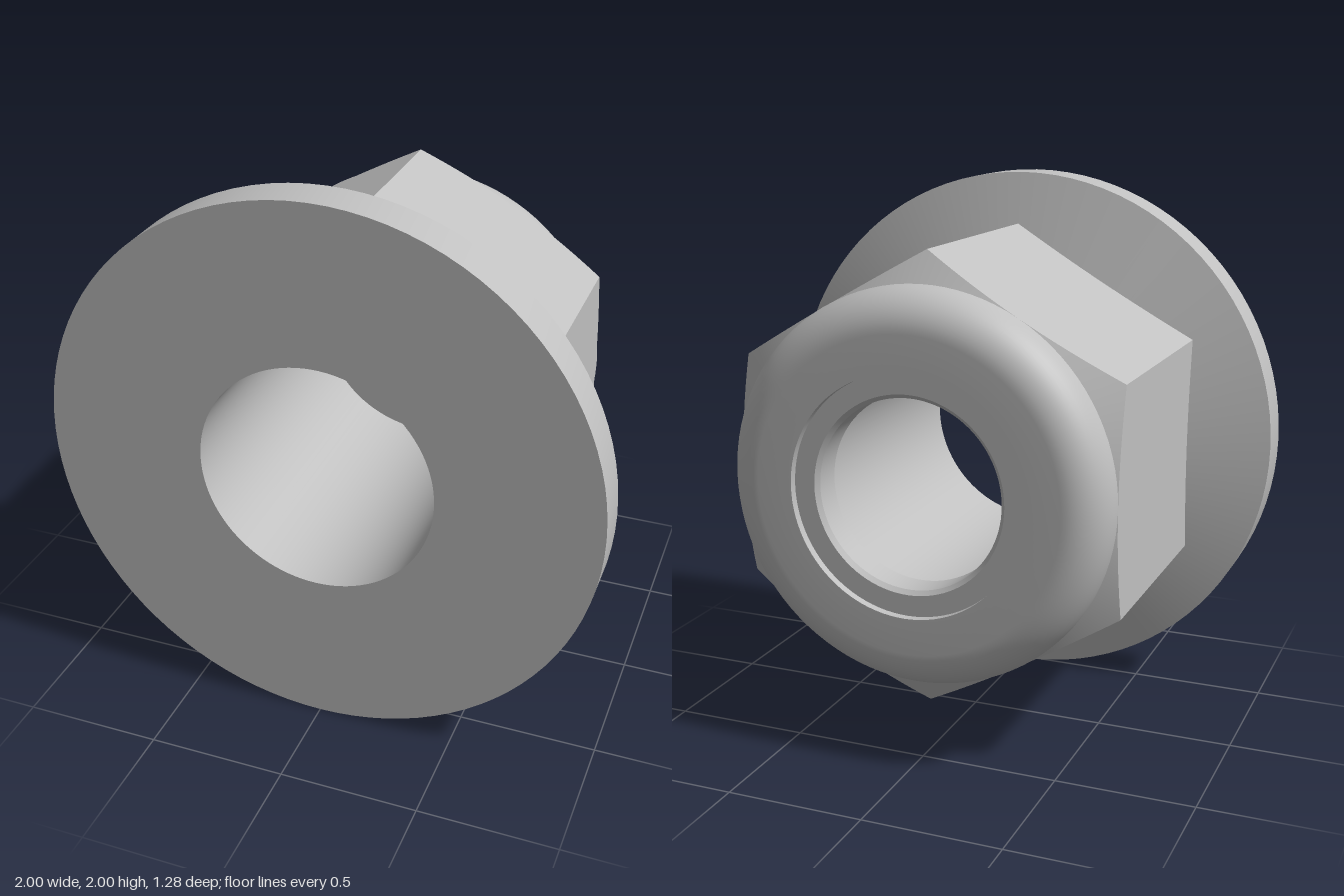
import * as THREE from 'three';
import { toCreasedNormals } from 'three/addons/utils/BufferGeometryUtils.js';

const APOTHEM = 0.7; // half the width across the flats
const BORE = 0.425;

export function createModel() {
  const model = new THREE.Group();
  const steel = new THREE.MeshStandardMaterial({ color: 0xc0c0c0 });
  steel.name = 'grey steel';

  const add = (name, geometry) => {
    const mesh = new THREE.Mesh(toCreasedNormals(geometry, 0.5), steel);
    mesh.name = name;
    model.add(mesh);
  };

  // Turned part about the z axis from [radius, z] pairs
  const turned = (name, profile) => {
    const points = profile.map(([r, z]) => new THREE.Vector2(r, z));
    add(name, new THREE.LatheGeometry(points, 96).rotateX(Math.PI / 2));
  };

  // Washer flange with its sloping back
  const coneZ = (r) => 0.485 + (r - 1) * 0.285;
  turned('flange', [[0.68, coneZ(0.68)], [1, 0.485], [1, 0.64], [BORE, 0.64]]);

  // Straight hole through the whole nut
  turned('bore', [[BORE, 0.64], [BORE, -0.64]]);

  // Rounded collar at the back
  const collar = [[BORE, -0.64]];
  for (let i = 0; i <= 12; i++) {
    const a = (i / 12) * Math.PI / 2;
    collar.push([0.555 + 0.145 * Math.sin(a), -0.495 - 0.145 * Math.cos(a)]);
  }
  collar.push([APOTHEM, -0.485]);
  turned('collar', collar);

  // Locking ring set just inside the collar
  turned('lockingRing', [
    [BORE, -0.49], [0.335, -0.49], [0.335, -0.595], [0.35, -0.61], [BORE, -0.61],
  ].reverse().map((p) => p).reverse());

  // Hexagon: flat sides cut by the flange cone in front and a chamfer cone behind
  const STEPS = 16;
  const chamferZ = (r) => -0.49 + (r - APOTHEM) * 0.577;
  const section = (face, step) => {
    const local = (step / STEPS - 0.5) * Math.PI / 3;
    const angle = local + (face + 0.5) * Math.PI / 3;
    const r = APOTHEM / Math.cos(local);
    return [[r, coneZ(r)], [r, chamferZ(r)], [0.697, chamferZ(0.697)]].map(
      ([radius, z]) => [radius * Math.sin(angle), radius * Math.cos(angle), z]);
  };
  const positions = [];
  for (let face = 0; face < 6; face++) {
    for (let step = 0; step < STEPS; step++) {
      const a = section(face, step);
      const b = section(face, step + 1);
      for (let k = 0; k < 2; k++) {
        positions.push(...a[k], ...b[k], ...b[k + 1], ...a[k], ...b[k + 1], ...a[k + 1]);
      }
    }
  }
  const hexagon = new THREE.BufferGeometry();
  hexagon.setAttribute('position', new THREE.Float32BufferAttribute(positions, 3));
  add('hexagonBody', hexagon);

  model.position.y = 1;
  return model;
}
